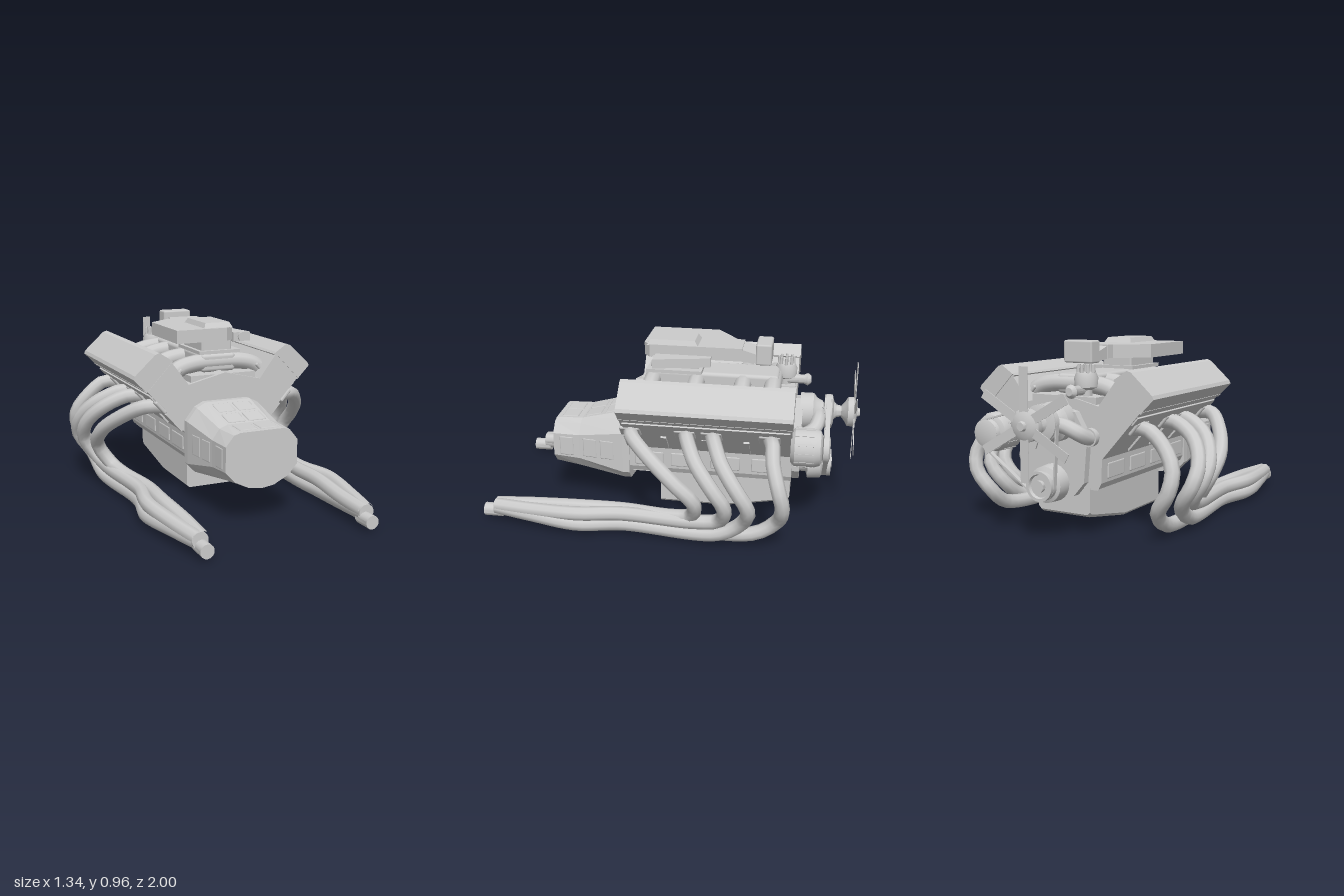
import * as THREE from 'three';
import { RoundedBoxGeometry } from 'three/addons/geometries/RoundedBoxGeometry.js';
import { toCreasedNormals } from 'three/addons/utils/BufferGeometryUtils.js';

const grey = new THREE.MeshStandardMaterial({ color: 0xcccccc });
const flat = new THREE.MeshStandardMaterial({ color: 0xcccccc, flatShading: true });
const thin = new THREE.MeshStandardMaterial({ color: 0xcccccc, side: THREE.DoubleSide });

function add(parent, name, geo, pos = [0, 0, 0], rot = [0, 0, 0], mat = grey) {
  const m = new THREE.Mesh(geo, mat);
  m.name = name;
  m.position.set(...pos);
  m.rotation.set(...rot);
  parent.add(m);
  return m;
}
const box = (w, h, d) => new THREE.BoxGeometry(w, h, d);
const shapeOf = (pts) => new THREE.Shape(pts.map((p) => new THREE.Vector2(...p)));
const mirrorPts = (half) => [...half, ...half.filter((p) => p[0] > 0).reverse().map(([x, y]) => [-x, y])];

// x-y outline extruded from z0 to z1
function prism(pts, z0, z1) {
  const g = new THREE.ExtrudeGeometry(pts.getPoints ? pts : shapeOf(pts), { depth: z1 - z0, bevelEnabled: false });
  return g.translate(0, 0, z0);
}
// z-y outline extruded across x, centred
const sidePrism = (pts, w) => prism(pts, -w / 2, w / 2).rotateY(-Math.PI / 2);
// x-z outline extruded upward from y0 to y1
const slab = (pts, y0, y1) =>
  prism(pts.map(([x, z]) => [x, -z]), 0, y1 - y0).rotateX(-Math.PI / 2).translate(0, y0, 0);
const tube = (pts, r, n = 28, sides = 10) =>
  new THREE.TubeGeometry(new THREE.CatmullRomCurve3(pts.map((p) => new THREE.Vector3(...p))), n, r, sides);
// turned part along z, profile given as [radius, z]
const turned = (pts, n = 24) =>
  toCreasedNormals(new THREE.LatheGeometry(pts.map((p) => new THREE.Vector2(...p)), n).rotateX(Math.PI / 2), 0.6);

// skin through convex counter-clockwise sections with a cap at each end
function loft(sections) {
  const v = [];
  const n = sections[0].pts.length;
  const at = (i, j) => [...sections[i].pts[j % n], sections[i].z];
  for (let i = 0; i < sections.length - 1; i++)
    for (let j = 0; j < n; j++) {
      const [a, b, c, d] = [at(i, j), at(i, j + 1), at(i + 1, j + 1), at(i + 1, j)];
      v.push(...a, ...b, ...c, ...a, ...c, ...d);
    }
  const e = sections.length - 1;
  for (let j = 1; j < n - 1; j++) {
    v.push(...at(e, 0), ...at(e, j), ...at(e, j + 1));
    v.push(...at(0, 0), ...at(0, j + 1), ...at(0, j));
  }
  const g = new THREE.BufferGeometry();
  g.setAttribute('position', new THREE.Float32BufferAttribute(v, 3));
  g.computeVertexNormals();
  return g;
}

// outline of a belt around circles [x, y, r], grown by d
function beltPts(circles, d) {
  return Array.from({ length: 90 }, (_, i) => {
    const t = (i / 90) * Math.PI * 2, c = Math.cos(t), s = Math.sin(t);
    const reach = (k) => k[0] * c + k[1] * s + k[2];
    const k = circles.reduce((p, q) => (reach(q) > reach(p) ? q : p));
    return [k[0] + (k[2] + d) * c, k[1] + (k[2] + d) * s];
  });
}

export function createModel() {
  const g = new THREE.Group();
  g.name = 'engine';

  // V-shaped block with both heads
  add(g, 'block', prism(mirrorPts([[0, 0.7], [0.21, 0.65], [0.305, 0.775], [0.44, 0.63], [0.23, 0.39],
    [0.225, 0.27], [0.21, 0.24], [0, 0.24]]), -0.655, 0.235));
  // oil pan with a deep sump and a shallower rear
  add(g, 'oilPan', loft([[-0.65, 0.1], [-0.63, 0.085], [-0.3, 0.025], [0.07, 0.025]].map(([z, b]) =>
    ({ z, pts: mirrorPts([[0, b], [0.14, b], [0.155, b + 0.015], [0.155, 0.25], [0, 0.25]]) }))), [0, 0, 0], [0, 0, 0], flat);
  add(g, 'oilPanFlange', box(0.4, 0.02, 0.86), [0, 0.24, -0.215]);

  // bell housing and gearbox
  const half = [[0, 0.15], [0.1, 0.165], [0.19, 0.18], [0.235, 0.23], [0.235, 0.46], [0.18, 0.53], [0.13, 0.555]];
  const mid = [[0, 0.165], [0.09, 0.185], [0.16, 0.215], [0.205, 0.28], [0.205, 0.42], [0.165, 0.475], [0.12, 0.492]];
  const end = [[0, 0.185], [0.07, 0.195], [0.15, 0.235], [0.2, 0.29], [0.2, 0.42], [0.155, 0.475], [0.12, 0.485]];
  add(g, 'bellHousing', loft([[half, 0.23], [half, 0.27], [mid, 0.52], [end, 0.67]]
    .map(([h, z]) => ({ pts: mirrorPts(h), z }))), [0, 0, 0], [0, 0, 0], flat);
  for (const s of [-1, 1]) {
    [[0.345, 0.532, 0.25], [0.46, 0.504, 0.25], [0.595, 0.485, 0.05]].forEach(([z, y, tilt]) => {
      add(g, 'housingTopPanel', new RoundedBoxGeometry(0.1, 0.016, 0.095, 1, 0.006), [s * 0.058, y, z], [tilt, 0, 0]);
    });
    [[0.36, 0.219, 0.12], [0.46, 0.207, 0.12], [0.595, 0.198, 0.03]].forEach(([z, x, turn]) =>
      add(g, 'housingSidePanel', new RoundedBoxGeometry(0.016, 0.11, 0.08, 1, 0.006), [s * x, 0.35, z], [0, -s * turn, 0]));
  }

  for (const s of [-1, 1]) {
    const side = new THREE.Group();
    side.name = s > 0 ? 'leftBank' : 'rightBank';
    g.add(side);
    const flip = (pts) => pts.map(([x, ...r]) => [s * x, ...r]);

    // valve cover with gasket
    add(side, 'valveCover', prism(flip([[0.303, 0.785], [0.372, 0.83], [0.395, 0.822], [0.508, 0.718],
      [0.516, 0.7], [0.45, 0.632]]), -0.66, 0.235));
    add(side, 'coverGasket', prism(flip([[0.296, 0.778], [0.306, 0.789], [0.458, 0.637], [0.446, 0.625]]), -0.655, 0.232));
    // head and block side detail
    add(side, 'headRail', box(0.03, 0.05, 0.87), [s * 0.4, 0.595, -0.212], [0, 0, -s * 0.73]);
    for (const z of [-0.52, -0.3, -0.08, 0.12]) {
      add(side, 'blockPanel', new RoundedBoxGeometry(0.02, 0.08, 0.16, 1, 0.007), [s * 0.223, 0.325, z]);
      add(side, 'coreRib', box(0.03, 0.13, 0.03), [s * 0.285, 0.46, z + 0.1], [0, 0, -s * 0.73]);
    }

    // exhaust headers: port z, bend z, lowest z, widest x, bundle offset
    const runs = [
      [0.19, -0.18, -0.12, 0.6, -0.03, 0.033],
      [-0.1, -0.34, -0.26, 0.63, 0.03, 0.03],
      [-0.24, -0.46, -0.38, 0.63, 0.035, -0.028],
      [-0.54, -0.63, -0.56, 0.59, -0.025, -0.03],
    ];
    runs.forEach(([z0, z1, z2, w, ox, oy]) => {
      const bx = 0.467 + ox * 0.7, by = 0.08 + oy;
      add(side, 'exhaustPipe', tube(flip([[0.35, 0.54, z0], [0.43, 0.54, z0 - 0.02], [w - 0.07, 0.47, z0 * 0.65 + z1 * 0.35],
        [w, 0.36, z0 * 0.25 + z1 * 0.75], [w - 0.01, 0.26, z1], [w - 0.08, 0.15, z1 * 0.6 + z2 * 0.4], [0.51 + ox * 0.6, by + 0.01, z2 + 0.08],
        [bx, by, 0.22], [0.49 + ox * 1.3, by, 0.46], [0.468 + ox, 0.08 + oy * 0.5, 0.72], [0.45 + ox * 0.3, 0.078 + oy * 0.2, 0.93]]), 0.039, 44, 9));
      add(side, 'exhaustFlange', new RoundedBoxGeometry(0.02, 0.085, 0.11, 1, 0.008), [s * 0.37, 0.542, z0], [0, 0, -s * 0.73]);
    });
    add(side, 'collector', turned([[0, 0.82], [0.046, 0.82], [0.042, 0.935], [0, 0.935]], 14), [s * 0.452, 0.078, 0]);
    add(side, 'tailPipe', turned([[0, 0.9], [0.036, 0.9], [0.036, 1], [0, 1]], 14), [s * 0.445, 0.047, 0]);
  }

  // intake manifold
  for (const z of [-0.53, -0.37, -0.12, 0.12]) {
    add(g, 'intakeRunner', tube([[-0.29, 0.66, z], [-0.22, 0.715, z], [-0.13, 0.738, z], [0, 0.742, z],
      [0.13, 0.738, z], [0.22, 0.715, z], [0.29, 0.66, z]], 0.046));
    for (const s of [-1, 1])
      add(g, 'runnerFlange', new RoundedBoxGeometry(0.02, 0.1, 0.11, 1, 0.008), [s * 0.255, 0.685, z], [0, 0, s * 0.75]);
  }
  add(g, 'plenum', new RoundedBoxGeometry(0.2, 0.1, 0.72, 2, 0.02), [0, 0.74, -0.2]);
  add(g, 'valleyCover', box(0.38, 0.05, 0.86), [0, 0.665, -0.215]);
  add(g, 'throttleBody', new RoundedBoxGeometry(0.18, 0.1, 0.26, 1, 0.012), [0, 0.82, 0]);
  add(g, 'throttlePlate', box(0.24, 0.018, 0.3), [0.01, 0.797, 0]);

  // air box, raised lid, snout and side duct
  add(g, 'airBox', slab([[-0.25, 0.175], [-0.25, -0.2], [-0.09, -0.32], [-0.085, -0.36], [0.085, -0.36], [0.085, 0.14], [0.04, 0.175]], 0.86, 0.93));
  add(g, 'airBoxLid', loft([[0.085, 0.14, 0], [0.07, 0.12, 0.03]].map(([w, d, z]) =>
    ({ z, pts: [[-w, -d], [w, -d], [w, d], [-w, d]] }))).rotateX(-Math.PI / 2), [0, 0.926, 0.015], [0, 0, 0], flat);
  add(g, 'airSnout', sidePrism([[-0.34, 0.93], [-0.34, 0.86], [-0.44, 0.85], [-0.44, 0.9]], 0.16));
  add(g, 'airInlet', new RoundedBoxGeometry(0.17, 0.115, 0.085, 1, 0.01), [0, 0.9, -0.475]);
  add(g, 'sideDuct', slab([[0.115, 0.1], [0.215, 0.1], [0.2, 0.03], [0.15, -0.2], [0.115, -0.2]], 0.84, 0.89));
  add(g, 'ductLink', box(0.06, 0.03, 0.1), [0.1, 0.865, 0]);
  add(g, 'ductPort', turned([[0, 0], [0.025, 0], [0.025, 0.03], [0, 0.03]], 16), [0.165, 0.865, 0.08]);

  // distributor with terminals
  add(g, 'distributor', toCreasedNormals(new THREE.LatheGeometry([[0, 0.62], [0.03, 0.62], [0.03, 0.72], [0.058, 0.735],
    [0.06, 0.78], [0.05, 0.805], [0, 0.81]].map((p) => new THREE.Vector2(...p)), 20), 0.6), [-0.1, 0, -0.59]);
  for (let i = 0; i < 9; i++) {
    const a = (i / 8) * Math.PI * 2, r = i < 8 ? 0.04 : 0;
    add(g, 'terminal', new THREE.CylinderGeometry(0.007, 0.009, 0.05, 8), [-0.1 + r * Math.cos(a), 0.82, -0.59 + r * Math.sin(a)]);
  }
  add(g, 'thermostat', turned([[0, -0.73], [0.02, -0.73], [0.035, -0.71], [0.025, -0.69], [0.025, -0.6], [0, -0.6]], 16), [-0.09, 0.72, 0]);

  // timing cover, water pump and coolant pipes
  add(g, 'timingCover', prism(mirrorPts([[0, 0.64], [0.1, 0.62], [0.17, 0.5], [0.15, 0.27], [0.09, 0.2], [0, 0.19]]), -0.695, -0.65));
  add(g, 'waterPump', turned([[0, -0.8], [0.06, -0.8], [0.075, -0.77], [0.1, -0.75], [0.1, -0.68], [0, -0.68]]), [0, 0.57, 0]);
  for (const s of [-1, 1]) {
    add(g, 'coolantPipe', tube([[0, 0.57, -0.775], [s * 0.1, 0.56, -0.78], [s * 0.16, 0.53, -0.76], [s * 0.18, 0.5, -0.7], [s * 0.18, 0.5, -0.64]], 0.038));
    add(g, 'pipeCollar', turned([[0, -0.7], [0.046, -0.7], [0.046, -0.67], [0, -0.67]], 16), [s * 0.18, 0.5, 0]);
  }
  add(g, 'pumpPulley', turned([[0, -0.86], [0.06, -0.86], [0.092, -0.85], [0.092, -0.843], [0.085, -0.837], [0.085, -0.823],
    [0.092, -0.817], [0.092, -0.81], [0, -0.81]]), [0, 0.575, 0]);

  // fan
  add(g, 'fanHub', turned([[0, -1], [0.02, -1], [0.025, -0.985], [0.055, -0.98], [0.08, -0.965], [0.08, -0.935], [0.055, -0.92],
    [0.03, -0.9], [0.035, -0.875], [0.05, -0.86], [0, -0.86]]), [0, 0.58, 0]);
  for (let i = 0; i < 6; i++) {
    const arm = new THREE.Group();
    arm.name = 'fanArm';
    arm.position.set(0, 0.583, -0.97);
    arm.rotation.z = (i * Math.PI) / 3;
    g.add(arm);
    add(arm, 'fanBlade', box(0.048, 0.225, 0.004), [0, 0.1625, 0], [0, 0.04, 0]);
  }

  // crank pulley, alternator and belt
  add(g, 'crankPulley', turned([[0, -0.87], [0.03, -0.87], [0.03, -0.85], [0.055, -0.85], [0.06, -0.865], [0.075, -0.865], [0.075, -0.845],
    [0.065, -0.835], [0.065, -0.82], [0.09, -0.81], [0.095, -0.74], [0.06, -0.73], [0.06, -0.68], [0, -0.68]]), [0, 0.27, 0]);
  const alt = [0.335, 0.5];
  add(g, 'alternator', turned([[0, -0.81], [0.07, -0.81], [0.09, -0.8], [0.1, -0.77], [0.1, -0.67], [0.08, -0.65], [0, -0.65]]), [...alt, 0]);
  for (let i = 0; i < 12; i++) {
    const a = (i * Math.PI) / 6;
    add(g, 'alternatorFin', box(0.008, 0.012, 0.1), [alt[0] + 0.098 * Math.cos(a), alt[1] + 0.098 * Math.sin(a), -0.72], [0, 0, a]);
  }
  add(g, 'alternatorPulley', turned([[0, -0.85], [0.05, -0.85], [0.07, -0.843], [0.064, -0.835], [0.07, -0.815], [0.03, -0.805], [0, -0.805]]), [...alt, 0]);
  add(g, 'alternatorBracket', box(0.2, 0.04, 0.05), [0.22, 0.47, -0.68], [0, 0, 0.35]);
  const wheels = [[0, 0.575, 0.085], [0, 0.27, 0.066], [...alt, 0.064]];
  const belt = shapeOf(beltPts(wheels, 0.008));
  belt.holes.push(new THREE.Path(beltPts(wheels, 0).reverse().map((p) => new THREE.Vector2(...p))));
  add(g, 'belt', prism(belt, -0.842, -0.818), [0, 0, 0], [0, 0, 0], thin);

  return g;
}
